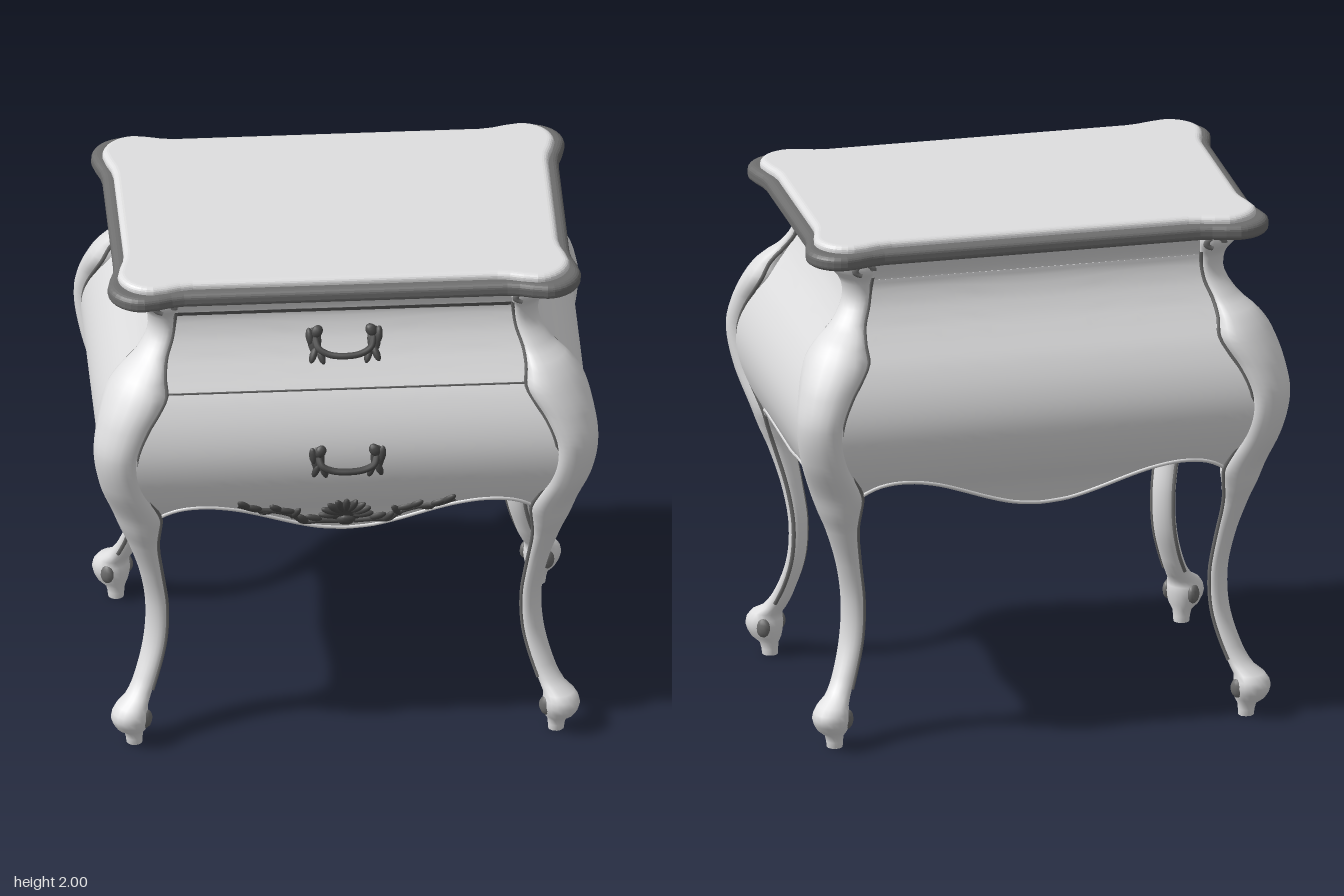
import * as THREE from 'three';
import { ParametricGeometry } from 'three/addons/geometries/ParametricGeometry.js';

const paint = new THREE.MeshStandardMaterial({ color: 0xdededf, side: THREE.DoubleSide });
paint.name = 'pale paint';
const rim = new THREE.MeshStandardMaterial({ color: 0x6e6e6e });
rim.name = 'dark rim';
const metal = new THREE.MeshStandardMaterial({ color: 0x484848 });
metal.name = 'dark metal';

const INSET = 0.262; // width minus depth, halved
const ZC = -0.01;

// leg rows: height, centre, half width across the diagonal, half width along it
const LEG = [
  [0, 0.793, 0.03, 0.03], [0.05, 0.796, 0.037, 0.037], [0.07, 0.804, 0.056, 0.056], [0.12, 0.811, 0.072, 0.072],
  [0.165, 0.805, 0.062, 0.06], [0.195, 0.78, 0.05, 0.045], [0.26, 0.75, 0.046, 0.036], [0.4, 0.713, 0.048, 0.03],
  [0.55, 0.706, 0.048, 0.03], [0.7, 0.727, 0.05, 0.034], [0.85, 0.76, 0.066, 0.045], [0.92, 0.773, 0.085, 0.06],
  [1.0, 0.785, 0.105, 0.075], [1.15, 0.842, 0.096, 0.071], [1.3, 0.868, 0.094, 0.068], [1.42, 0.839, 0.11, 0.08],
  [1.53, 0.788, 0.13, 0.093], [1.6, 0.765, 0.103, 0.068], [1.66, 0.728, 0.07, 0.042], [1.74, 0.69, 0.058, 0.035],
  [1.82, 0.69, 0.065, 0.04], [1.88, 0.71, 0.1, 0.06], [1.93, 0.715, 0.1, 0.06],
];
// carcass rows: height, half width
const BODY = [
  [0.88, 0.79], [1.0, 0.835], [1.1, 0.885], [1.2, 0.917], [1.3, 0.924], [1.4, 0.903], [1.5, 0.857], [1.6, 0.79],
  [1.66, 0.752], [1.74, 0.715], [1.82, 0.705], [1.93, 0.765],
];
// lower edges: distance from the middle, height
const APRON_LONG = [[0, 0.91], [0.1, 0.92], [0.2, 0.95], [0.3, 0.99], [0.4, 1.03], [0.5, 1.052], [0.6, 1.045], [0.68, 1.01], [0.78, 0.94]];
const APRON_SHORT = [[0, 0.995], [0.1, 1.012], [0.2, 1.042], [0.27, 1.05], [0.35, 1.03], [0.42, 0.99], [0.515, 0.93]];

// smooth lookup in a table sorted by its first column
function look(rows, k) {
  let i = 0;
  while (i < rows.length - 2 && k > rows[i + 1][0]) i++;
  const [a, b] = [rows[i], rows[i + 1]];
  const p = rows[i - 1] || a, q = rows[i + 2] || b;
  const h = b[0] - a[0], s = Math.min(1, Math.max(0, (k - a[0]) / h));
  return a.slice(1).map((va, n) => {
    const c = n + 1, vb = b[c];
    const ma = ((vb - p[c]) / (b[0] - p[0])) * h, mb = ((q[c] - va) / (q[0] - a[0])) * h;
    const s2 = s * s, s3 = s2 * s;
    return va * (2 * s3 - 3 * s2 + 1) + ma * (s3 - 2 * s2 + s) + vb * (3 * s2 - 2 * s3) + mb * (s3 - s2);
  });
}
const half = (y) => look(BODY, y)[0];
const onFront = (x, y, off = 0) => new THREE.Vector3(x, y, half(y) - INSET + ZC + off);

function add(parent, name, geometry, material) {
  const mesh = new THREE.Mesh(geometry, material);
  mesh.name = name;
  parent.add(mesh);
  return mesh;
}
const tube = (pts, r, n = 32, sides = 6) => new THREE.TubeGeometry(new THREE.CatmullRomCurve3(pts), n, r, sides);

// flattened bead lying on the curved front
function bead(parent, name, x, y, length, width, angle, off = 0.004, depth = 0.012) {
  const m = add(parent, name, new THREE.SphereGeometry(1, 10, 8), metal);
  m.scale.set(width, length, depth);
  m.position.copy(onFront(x, y, off));
  m.rotation.set(Math.atan((half(y + 0.01) - half(y - 0.01)) / 0.02), 0, angle);
}

// outline of the top, swelling into ears at the corners
function earedShape(A, B) {
  const q = [[A - 0.032, B - 0.25], [A - 0.025, B - 0.2], [A - 0.01, B - 0.15]];
  for (let i = 0; i <= 8; i++) {
    const t = (i / 8) * Math.PI / 2;
    q.push([A - 0.1 + 0.1 * Math.cos(t), B - 0.1 + 0.1 * Math.sin(t)]);
  }
  q.push([A - 0.15, B - 0.01], [A - 0.2, B - 0.025], [A - 0.25, B - 0.032]);
  const r = [...q].reverse();
  const all = [...q, ...r.map(([x, y]) => [-x, y]), ...q.map(([x, y]) => [-x, -y]), ...r.map(([x, y]) => [x, -y])];
  return new THREE.Shape(all.map(([x, y]) => new THREE.Vector2(x, y)));
}
function slab(A, B, y, depth, bevel, thick) {
  const g = new THREE.ExtrudeGeometry(earedShape(A, B), {
    depth, bevelSize: bevel, bevelThickness: thick, bevelSegments: 5, curveSegments: 8,
  });
  return g.rotateX(-Math.PI / 2).translate(0, y + thick, ZC);
}

// one side of the carcass with its shaped lower edge
function panel(parent, name, turn, isLong, apron) {
  const g = new THREE.Group();
  g.name = name;
  g.rotation.y = turn;
  g.position.z = ZC;
  parent.add(g);
  const span = isLong ? 0.78 : 0.515;
  const point = (s, y, off = 0) => new THREE.Vector3(
    s * (look(LEG, y)[0] - (isLong ? 0 : INSET)), y, half(y) - (isLong ? INSET : 0) + off);
  const low = (s) => look(apron, Math.abs(s) * span)[0];
  add(g, name + 'Face', new ParametricGeometry((u, v, p) => {
    const s = u * 2 - 1, b = low(s);
    p.copy(point(s, b + (1.925 - b) * v));
  }, 48, 36), paint);
  const edge = [];
  for (let i = 0; i <= 32; i++) edge.push(point(i / 16 - 1, low(i / 16 - 1) + 0.004));
  add(g, name + 'EdgeBead', tube(edge, 0.008, 64), paint);
  // strip under the frieze
  const strip = (part, y, h, material) => {
    const a = point(0.93, y);
    add(g, part, new THREE.BoxGeometry(a.x * 2, h, 0.006), material).position.set(0, y, a.z);
  };
  if (turn === 0) {
    // shadow gaps above and between the drawers
    strip('frontGroove', 1.812, 0.013, metal);
    strip('drawerGroove', 1.538, 0.006, rim);
  } else strip(name + 'Strip', 1.808, 0.014, paint);
}

function leg(parent, name, sx, sz) {
  const g = new THREE.Group();
  g.name = name;
  g.rotation.y = Math.atan2(-sz, sx);
  g.position.z = ZC - sz * INSET;
  parent.add(g);
  add(g, 'legPost', new ParametricGeometry((u, v, p) => {
    const y = v * 1.93, [c, t, r] = look(LEG, y), a = -u * Math.PI * 2;
    p.set(c * Math.SQRT2 + r * Math.cos(a), y, t * Math.sin(a));
  }, 18, 80), paint);
  const sole = add(g, 'legSole', new THREE.CircleGeometry(0.03, 16), paint);
  sole.rotation.x = Math.PI / 2;
  sole.position.set(0.793 * Math.SQRT2, 0.0005, 0);
  for (const s of [-1, 1]) {
    // beading down both edges of the leg
    const pts = [];
    for (let y = 0.22; y < 1.86; y += 0.06) {
      const [c, t, r] = look(LEG, y);
      pts.push(new THREE.Vector3(c * Math.SQRT2 - r * 0.3, y, s * t * 0.965));
    }
    add(g, 'legBeading', tube(pts, 0.008, 80, 5), rim);
    // scroll below the top and curl beside the foot
    const scroll = add(g, 'legScroll', new THREE.TorusGeometry(0.02, 0.008, 6, 14, 4.4), rim);
    scroll.scale.set(1.7, 1, 1);
    scroll.position.set(1.035, 1.884, s * 0.078);
    scroll.rotation.y = Math.PI / 2 - s * 0.75;
    const curl = add(g, 'footCurl', new THREE.SphereGeometry(1, 12, 8), rim);
    curl.scale.set(0.03, 0.038, 0.02);
    curl.position.set(0.811 * Math.SQRT2 - 0.028, 0.118, s * 0.055);
  }
}

function handle(parent, name, y) {
  const g = new THREE.Group();
  g.name = name;
  parent.add(g);
  const path = [[-0.11, 0.02, 0.008], [-0.098, -0.005, 0.03], [-0.06, -0.022, 0.038], [0, -0.027, 0.042],
    [0.06, -0.022, 0.038], [0.098, -0.005, 0.03], [0.11, 0.02, 0.008]];
  add(g, 'bail', tube(path.map(([x, dy, o]) => onFront(x, y + dy, o)), 0.013, 36, 8), metal);
  for (const s of [-1, 1]) {
    bead(g, 'handlePlate', s * 0.112, y + 0.012, 0.052, 0.026, 0, 0.006);
    bead(g, 'handleLeaf', s * 0.102, y + 0.046, 0.026, 0.021, s * 0.5, 0.012, 0.016);
    bead(g, 'handleLeaf', s * 0.13, y + 0.028, 0.034, 0.015, s * -0.1, 0.01);
    bead(g, 'handleLeaf', s * 0.089, y - 0.038, 0.034, 0.014, s * -0.3, 0.01);
    bead(g, 'handleLeaf', s * 0.118, y - 0.034, 0.034, 0.014, s * 0.35, 0.01);
  }
}

function apronOrnament(parent) {
  const g = new THREE.Group();
  g.name = 'apronOrnament';
  parent.add(g);
  // shell of radiating ribs
  bead(g, 'shellBack', 0, 1.005, 0.065, 0.075, 0, 0.004, 0.01);
  for (let i = -4; i <= 4; i++) {
    const a = i * 0.36, d = 0.066 - Math.abs(i) * 0.001;
    bead(g, 'shellRib', Math.sin(a) * d * 1.05, 0.985 + Math.cos(a) * d, 0.04, 0.015, -a, 0.01, 0.014);
  }
  bead(g, 'shellHeart', 0, 0.965, 0.026, 0.036, 0, 0.012, 0.016);
  for (const s of [-1, 1]) {
    // trailing stem with leaves
    const stem = [[0.03, 0.955], [0.1, 0.96], [0.16, 0.957], [0.2, 0.995], [0.27, 1.025], [0.34, 1.035], [0.41, 1.07]];
    add(g, 'stem', tube(stem.map(([x, y]) => onFront(s * x, y, 0.004)), 0.011, 40), metal);
    const leaves = [[0.12, 0.975, 0.034, 1.2], [0.16, 0.97, 0.034, 0.7], [0.19, 1.005, 0.034, -0.5], [0.225, 1.022, 0.036, 1.3],
      [0.265, 1.04, 0.03, 0.9], [0.3, 1.022, 0.032, 1.8], [0.345, 1.045, 0.032, 1.1], [0.385, 1.065, 0.034, 0.8]];
    for (const [x, y, l, a] of leaves) bead(g, 'ornamentLeaf', s * x, y, l, 0.015, -s * a, 0.005);
  }
}

export function createModel() {
  const model = new THREE.Group();
  model.name = 'nightstand';

  // top
  add(model, 'topUnderside', slab(0.822, 0.545, 1.904, 0.01, 0.01, 0.005), paint);
  add(model, 'topRim', slab(0.86, 0.573, 1.91, 0.018, 0.03, 0.022), rim);
  add(model, 'topPlate', slab(0.825, 0.54, 1.945, 0.015, 0.025, 0.02), paint);

  // carcass
  panel(model, 'frontPanel', 0, true, APRON_LONG);
  panel(model, 'backPanel', Math.PI, true, APRON_LONG);
  panel(model, 'leftPanel', Math.PI / 2, false, APRON_SHORT);
  panel(model, 'rightPanel', -Math.PI / 2, false, APRON_SHORT);

  // legs
  leg(model, 'frontLeftLeg', 1, 1);
  leg(model, 'frontRightLeg', -1, 1);
  leg(model, 'backLeftLeg', 1, -1);
  leg(model, 'backRightLeg', -1, -1);

  // fittings
  handle(model, 'upperHandle', 1.685);
  handle(model, 'lowerHandle', 1.28);
  apronOrnament(model);
  return model;
}
